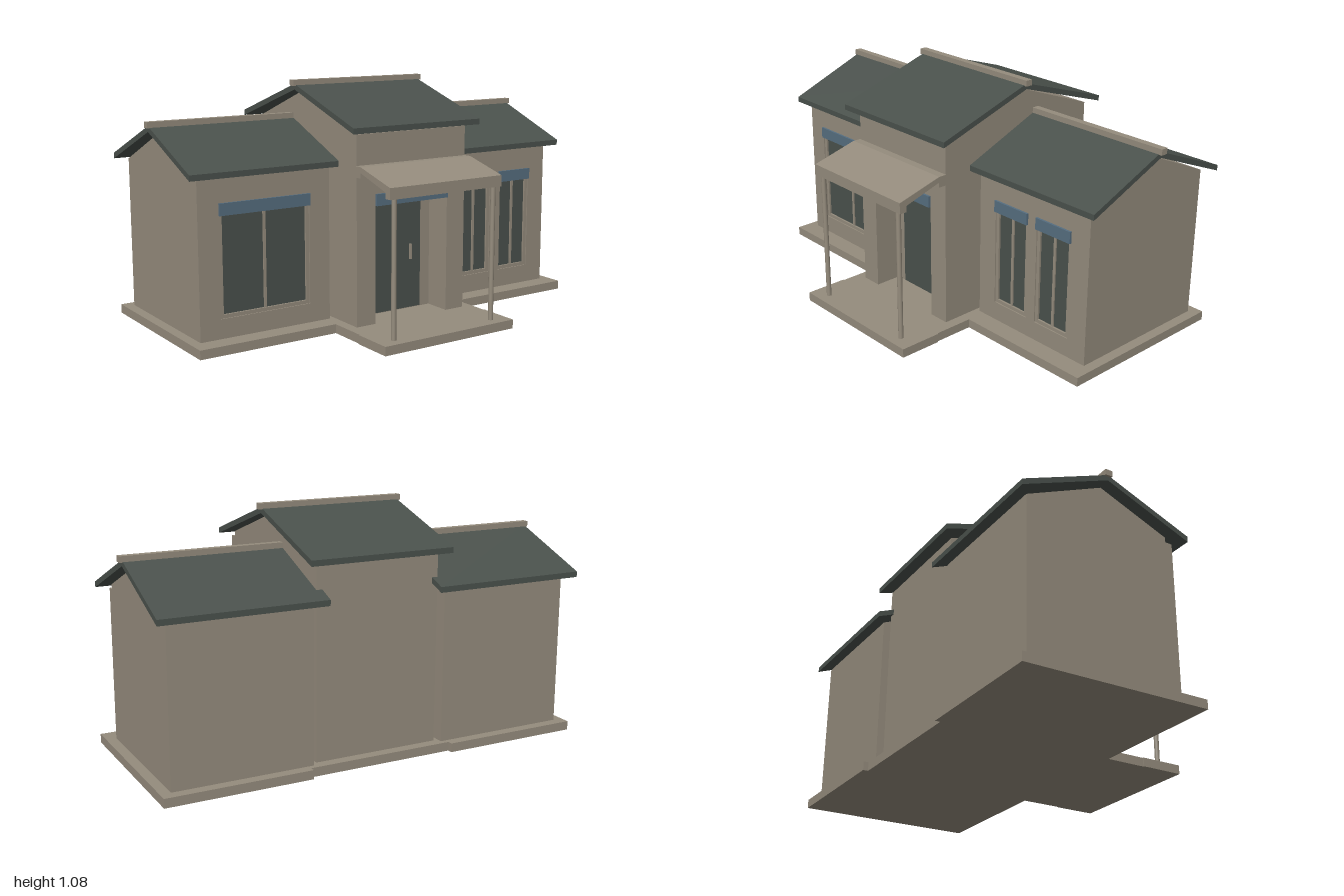
import * as THREE from 'three';

const stone = new THREE.MeshStandardMaterial({ color: 0x958c7d });
stone.name = 'warm stone';
const slate = new THREE.MeshStandardMaterial({ color: 0x4a514c });
slate.name = 'dark slate';
const blue = new THREE.MeshStandardMaterial({ color: 0x566e80 });
blue.name = 'dusty blue';

function add(parent, name, geometry, material) {
  const mesh = new THREE.Mesh(geometry, material);
  mesh.name = name;
  parent.add(mesh);
  return mesh;
}

// Box given by its limits on each axis
function box(parent, name, material, [x0, x1], [y0, y1], [z0, z1]) {
  const g = new THREE.BoxGeometry(x1 - x0, y1 - y0, z1 - z0);
  g.translate((x0 + x1) / 2, (y0 + y1) / 2, (z0 + z1) / 2);
  return add(parent, name, g, material);
}

const outline = (pts) => pts.map(([a, b]) => new THREE.Vector2(a, b));

// Side profile of [z, y] points swept along x
function sweepX(parent, name, material, pts, x0, x1) {
  const g = new THREE.ExtrudeGeometry(new THREE.Shape(outline(pts)), { depth: x1 - x0, bevelEnabled: false });
  g.rotateY(-Math.PI / 2).translate(x1, 0, 0);
  return add(parent, name, g, material);
}

// Front wall panel with rectangular openings [x0, x1, y0, y1]
function frontPanel(parent, [x0, x1], [y0, y1], [z0, z1], openings) {
  const shape = new THREE.Shape(outline([[x0, y0], [x1, y0], [x1, y1], [x0, y1]]));
  for (const [a, b, c, d] of openings) {
    shape.holes.push(new THREE.Path(outline([[a, c], [a, d], [b, d], [b, c]])));
  }
  const g = new THREE.ExtrudeGeometry(shape, { depth: z1 - z0, bevelEnabled: false });
  g.translate(0, 0, z0);
  add(parent, 'frontWall', g, stone);
}

// Pitched roof slab and ridge cap
function roof(parent, [x0, x1], [c0, c1], front, back, ridge, eave, top) {
  const t = 0.025;
  sweepX(parent, 'roof', slate, [
    [front, eave], [front, eave + t], [ridge, top], [back, eave + t], [back, eave], [ridge, top - t],
  ], x0, x1);
  box(parent, 'ridgeCap', stone, [c0, c1], [top - 0.008, top + 0.018], [ridge - 0.016, ridge + 0.016]);
}

// Two-pane window set in an opening, with a blue header
function windowUnit(parent, [x0, x1, y0, y1], wallZ) {
  const w = new THREE.Group();
  w.name = 'window';
  parent.add(w);
  const back = wallZ - 0.02, f = 0.016, mid = (x0 + x1) / 2;
  box(w, 'glass', slate, [x0 + f, x1 - f], [y0 + f, y1 - f], [back, back + 0.006]);
  box(w, 'sill', stone, [x0, x1], [y0, y0 + f], [back, wallZ - 0.005]);
  box(w, 'topRail', stone, [x0, x1], [y1 - f, y1], [back, wallZ - 0.005]);
  for (const x of [x0, x1 - f]) {
    box(w, 'jamb', stone, [x, x + f], [y0 + f, y1 - f], [back, wallZ - 0.005]);
  }
  box(w, 'mullion', stone, [mid - 0.006, mid + 0.006], [y0 + f, y1 - f], [back, wallZ - 0.008]);
  box(w, 'header', blue, [x0, x1], [0.56, 0.612], [wallZ - 0.015, wallZ + 0.01]);
}

// Side wing with gabled walls, windows and roof
function wing(parent, name, walls, slab, cap, openings) {
  const g = new THREE.Group();
  g.name = name;
  parent.add(g);
  sweepX(g, 'walls', stone, [
    [-0.557, 0.04], [0.117, 0.04], [0.117, 0.72], [0.105, 0.72], [0.105, 0.742], [-0.21, 0.872], [-0.557, 0.722],
  ], ...walls);
  frontPanel(g, walls, [0.04, 0.72], [0.117, 0.137], openings);
  openings.forEach((o) => windowUnit(g, o, 0.137));
  roof(g, slab, cap, 0.18, -0.605, -0.21, 0.72, 0.903);
}

export function createModel() {
  const house = new THREE.Group();
  house.name = 'house';

  // Stepped plinth
  const base = new THREE.Group();
  base.name = 'plinth';
  house.add(base);
  box(base, 'leftBase', stone, [0.335, 0.98], [0, 0.04], [-0.603, 0.225]);
  box(base, 'rightBase', stone, [-0.985, -0.34], [0, 0.04], [-0.603, 0.225]);
  box(base, 'middleBase', stone, [-0.34, 0.335], [0, 0.04], [-0.58, 0.41]);
  box(base, 'porchBase', stone, [-0.345, 0.34], [0, 0.04], [0.41, 0.605]);

  // Wings
  wing(house, 'rightWing', [-0.94, -0.315], [-0.99, -0.265], [-1, -0.255],
    [[-0.845, -0.415, 0.125, 0.612]]);
  wing(house, 'leftWing', [0.31, 0.935], [0.26, 0.985], [0.25, 1],
    [[0.405, 0.597, 0.125, 0.612], [0.647, 0.838, 0.125, 0.612]]);

  // Taller middle block with a recessed entrance
  const middle = new THREE.Group();
  middle.name = 'middleBlock';
  house.add(middle);
  const mx = [-0.292, 0.287];
  sweepX(middle, 'walls', stone, [[-0.533, 0.04], [0.19, 0.04], [0.19, 0.872], [-0.533, 0.872]], ...mx);
  sweepX(middle, 'gable', stone, [[-0.533, 0.872], [0.285, 0.872], [0.285, 0.895], [-0.107, 1.028]], ...mx);
  for (const [a, b] of [[mx[0], -0.195], [0.19, mx[1]]]) {
    box(middle, 'entrancePier', stone, [a, b], [0.04, 0.612], [0.19, 0.318]);
  }
  box(middle, 'lintel', stone, mx, [0.612, 0.872], [0.19, 0.318]);
  roof(middle, [-0.338, 0.332], [-0.352, 0.346], 0.365, -0.58, -0.107, 0.88, 1.058);

  // Door
  const door = new THREE.Group();
  door.name = 'entrance';
  house.add(door);
  box(door, 'door', slate, [-0.14, 0.133], [0.045, 0.575], [0.19, 0.198]);
  box(door, 'doorHandle', stone, [0.072, 0.079], [0.27, 0.34], [0.198, 0.21]);
  box(door, 'doorHeader', blue, [-0.194, 0.189], [0.56, 0.612], [0.3, 0.328]);

  // Porch canopy on two slim posts
  const porch = new THREE.Group();
  porch.name = 'porch';
  house.add(porch);
  sweepX(porch, 'canopy', stone, [
    [0.318, 0.692], [0.355, 0.692], [0.355, 0.715], [0.533, 0.66], [0.533, 0.633],
    [0.567, 0.633], [0.567, 0.682], [0.355, 0.74], [0.318, 0.74],
  ], -0.297, 0.29);
  for (const x of [-0.265, 0.258]) {
    const g = new THREE.CylinderGeometry(0.011, 0.011, 0.595, 16);
    add(porch, 'post', g, stone).position.set(x, 0.3375, 0.55);
  }
  return house;
}
